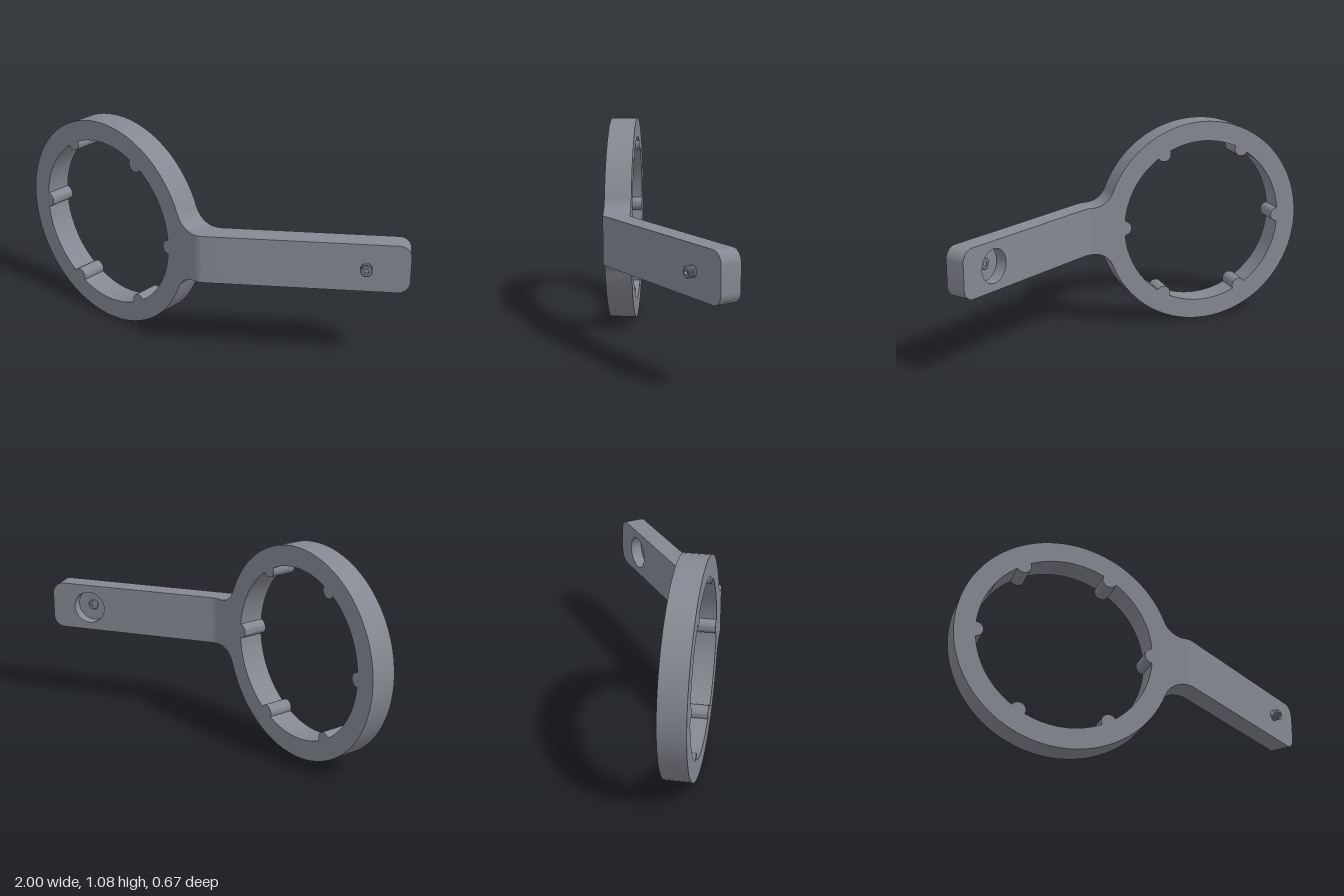
import * as THREE from 'three';
import { toCreasedNormals } from 'three/addons/utils/BufferGeometryUtils.js';

const R = 0.538, INNER = 0.435, BUMP = 0.037;  // ring radii and grip bump radius
const CX = -0.462, CY = 0.538;                 // ring centre
const H = 0.124;                               // half height of the handle
const BACK = 0.2, FRONT = 0.335;               // ring depth range
const NECK_X = 0.145;                          // where the bend begins
const TILT = THREE.MathUtils.degToRad(35);
const ARM_LEN = 0.9, ARM_T = 0.107, RECESS = 0.06, SCREW_X = -0.21;
const ARM_END = new THREE.Vector2(0.9387, -0.335);

const steel = new THREE.MeshStandardMaterial({ color: 0x858892 });
steel.name = 'steelGrey';

function part(name, geometry, parent) {
  const mesh = new THREE.Mesh(geometry, steel);
  mesh.name = name;
  parent.add(mesh);
  return mesh;
}

function extrude(shape, depth, z = 0, curveSegments = 24) {
  const g = new THREE.ExtrudeGeometry(shape, { depth, bevelEnabled: false, curveSegments });
  g.translate(0, 0, z);
  return toCreasedNormals(g, 0.5);
}

// Ring outline that flows through two fillets into the handle neck
function ringShape() {
  const dx = NECK_X - CX;
  const r = (dx * dx + H * H - R * R) / (2 * (R - H));
  const a = Math.atan2(H + r, dx);
  const s = new THREE.Shape();
  s.moveTo(NECK_X, -H);
  s.lineTo(NECK_X, H);
  s.absarc(NECK_X, H + r, r, -Math.PI / 2, a - Math.PI, true);
  s.absarc(CX, 0, R, a, 2 * Math.PI - a, false);
  s.absarc(NECK_X, -H - r, r, Math.PI - a, Math.PI / 2, true);

  // Opening with six round grip bumps
  const hole = new THREE.Path();
  const half = 2 * Math.asin(BUMP / (2 * INNER));
  for (let i = 0; i < 6; i++) {
    const k = (i * Math.PI) / 3;
    const bx = CX + INNER * Math.cos(k), by = INNER * Math.sin(k);
    hole.absarc(bx, by, BUMP, k + 1.5 * Math.PI - half / 2, k + Math.PI / 2 + half / 2, true);
    hole.absarc(CX, 0, INNER, k + half, k + Math.PI / 3 - half, false);
  }
  s.holes.push(hole);
  return s;
}

// Bend seen from above, drawn with shape y = -z
function bendGeometry() {
  const c = Math.cos(TILT), n = Math.sin(TILT);
  const bx = ARM_END.x - ARM_LEN * c, bz = ARM_END.y + ARM_LEN * n;
  const fx = bx + ARM_T * n, fz = bz + ARM_T * c;
  const frontCorner = fx - ((FRONT - fz) * c) / n;
  const backCorner = bx - ((BACK - bz) * c) / n;
  const lf = frontCorner - NECK_X, lb = backCorner - NECK_X;
  const s = new THREE.Shape();
  s.moveTo(NECK_X, -FRONT);
  s.quadraticCurveTo(frontCorner, -FRONT, frontCorner + lf * c, -FRONT + lf * n);
  s.lineTo(fx, -fz);
  s.lineTo(bx, -bz);
  s.lineTo(backCorner + lb * c, -BACK + lb * n);
  s.quadraticCurveTo(backCorner, -BACK, NECK_X, -BACK);
  const g = extrude(s, 2 * H, -H, 10);
  g.rotateX(-Math.PI / 2);
  return g;
}

// Flat bar with a rounded free end at x = 0
function armShape(withRecess) {
  const r = 0.06;
  const s = new THREE.Shape();
  s.moveTo(-ARM_LEN, -H);
  s.lineTo(-r, -H);
  s.absarc(-r, -H + r, r, -Math.PI / 2, 0, false);
  s.absarc(-r, H - r, r, 0, Math.PI / 2, false);
  s.lineTo(-ARM_LEN, H);
  if (withRecess) s.holes.push(new THREE.Path().absarc(SCREW_X, 0, 0.085, 0, 2 * Math.PI, true));
  return s;
}

// Threaded set screw with a hexagon socket at both ends
function addScrew(parent) {
  const screw = new THREE.Group();
  screw.name = 'setScrew';
  screw.position.x = SCREW_X;
  parent.add(screw);
  const z0 = 0.055, z1 = 0.149, turns = 11, socket = 0.015;

  const profile = [];
  for (let i = 0; i <= turns * 2; i++) {
    const z = z0 + ((z1 - z0) * i) / (turns * 2);
    profile.push(new THREE.Vector2(i % 2 ? 0.0285 : 0.0235, z));
  }
  const thread = toCreasedNormals(new THREE.LatheGeometry(profile, 24), 0.5);
  thread.rotateX(Math.PI / 2);
  part('screwThread', thread, screw);

  const core = new THREE.CylinderGeometry(0.023, 0.023, z1 - z0 - 2 * socket, 24);
  core.rotateX(Math.PI / 2);
  part('screwCore', core, screw).position.z = (z0 + z1) / 2;

  const collar = new THREE.Shape().absarc(0, 0, 0.0236, 0, 2 * Math.PI, false);
  const hex = [];
  for (let i = 0; i < 6; i++) {
    const a = (-i * Math.PI) / 3;
    hex.push(new THREE.Vector2(0.014 * Math.cos(a), 0.014 * Math.sin(a)));
  }
  collar.holes.push(new THREE.Path(hex));
  part('screwBackSocket', extrude(collar, socket, z0, 12), screw);
  part('screwFrontSocket', extrude(collar, socket, z1 - socket, 12), screw);
}

export function createModel() {
  const model = new THREE.Group();
  model.name = 'ringWrench';
  const body = new THREE.Group();
  body.name = 'wrenchBody';
  body.position.y = CY;
  model.add(body);

  part('gripRing', extrude(ringShape(), FRONT - BACK, BACK, 40), body);
  part('handleBend', bendGeometry(), body);

  // Tilted arm in two layers, the back one bored for the recess
  const arm = new THREE.Group();
  arm.name = 'handleArm';
  arm.position.set(ARM_END.x, 0, ARM_END.y);
  arm.rotation.y = TILT;
  body.add(arm);
  part('armBackLayer', extrude(armShape(true), RECESS), arm);
  part('armFrontLayer', extrude(armShape(false), ARM_T - RECESS, RECESS), arm);
  addScrew(arm);

  return model;
}
